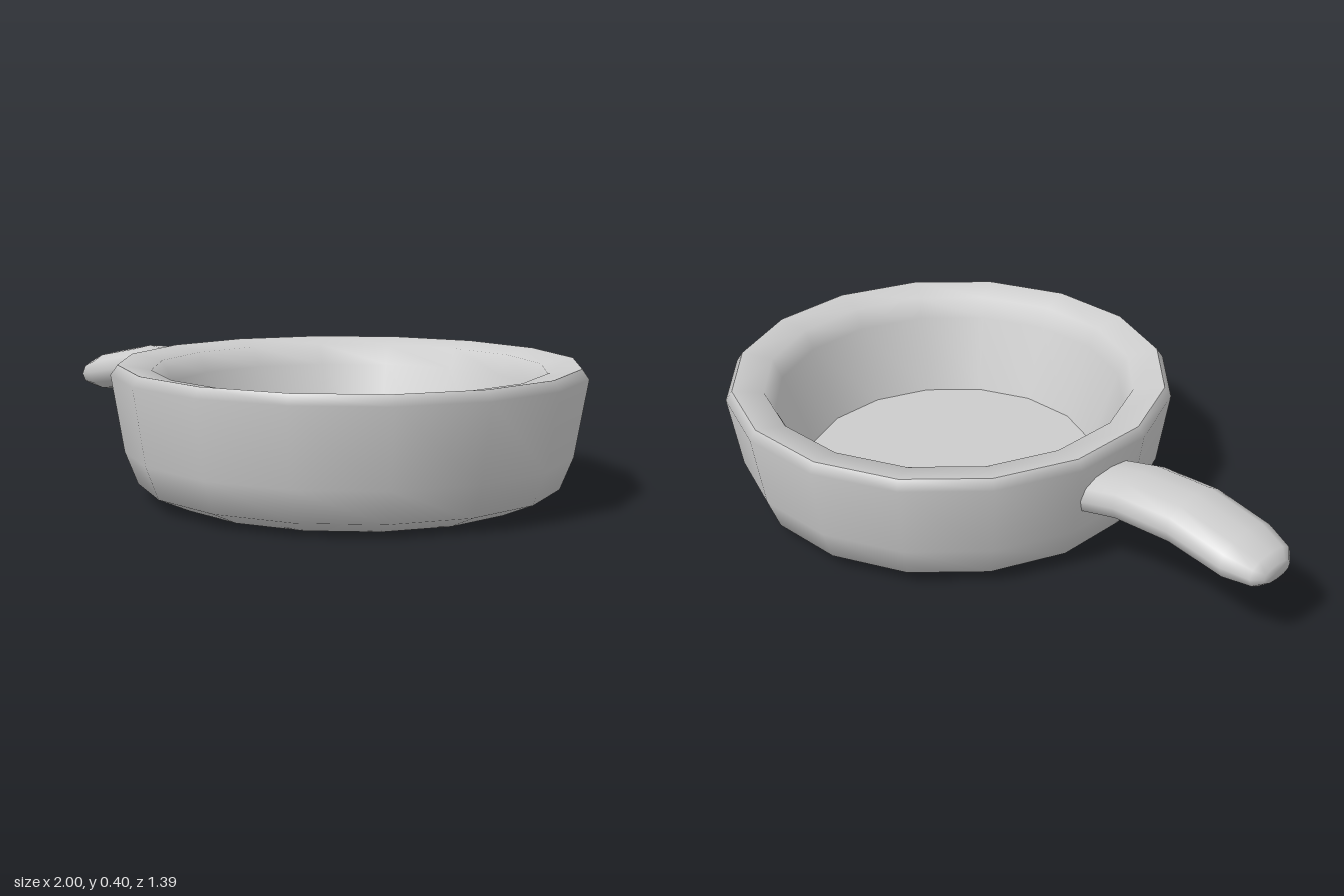
import * as THREE from 'three';

const SIDES = 16;
const PAN_X = 0.3025;
const APOTHEM = Math.cos(Math.PI / SIDES);

// Sixteen-sided turned surface; radii are measured to the flat sides.
function turned(name, profile, material) {
  const points = profile.map(([r, y]) => new THREE.Vector2(r / APOTHEM, y));
  const mesh = new THREE.Mesh(new THREE.LatheGeometry(points, SIDES, Math.PI / SIDES), material);
  mesh.name = name;
  mesh.position.x = PAN_X;
  return mesh;
}

// Smooth oval loft along x, closed at its first section.
// Each section: [x, centre y, half height, half width]
function loft(sections, sides) {
  const positions = [];
  const index = [];
  for (const [x, y, h, w] of sections) {
    for (let j = 0; j < sides; j++) {
      const a = (j / sides) * Math.PI * 2;
      const c = Math.cos(a), s = Math.sin(a);
      // slightly squared oval
      positions.push(x, y + h * Math.sign(s) * Math.abs(s) ** 0.85, w * Math.sign(c) * Math.abs(c) ** 0.85);
    }
  }
  for (let i = 0; i < sections.length - 1; i++) {
    for (let j = 0; j < sides; j++) {
      const k = (j + 1) % sides;
      const a = i * sides + j, b = a + sides;
      const d = i * sides + k, c = d + sides;
      index.push(a, b, d, b, c, d);
    }
  }
  const tip = positions.length / 3;
  positions.push(sections[0][0], sections[0][1], 0);
  for (let j = 0; j < sides; j++) index.push(tip, j, (j + 1) % sides);

  const geometry = new THREE.BufferGeometry();
  geometry.setAttribute('position', new THREE.Float32BufferAttribute(positions, 3));
  geometry.setIndex(index);
  geometry.computeVertexNormals();
  return geometry;
}

export function createModel() {
  const group = new THREE.Group();
  group.name = 'fryingPan';
  const metal = new THREE.MeshStandardMaterial({ color: 0xcccccc });
  metal.name = 'grey metal';

  // Underside, outer wall and bevel
  group.add(turned('outerBowl', [[0, 0], [0.527, 0], [0.622, 0.042], [0.66, 0.14], [0.6975, 0.37], [0.677, 0.4]], metal));
  // Lip rolling into the inner wall
  group.add(turned('rimAndInnerWall', [[0.677, 0.4], [0.58, 0.383], [0.55, 0.32], [0.465, 0.08]], metal));
  // Cooking surface
  group.add(turned('panFloor', [[0.465, 0.08], [0, 0.08]], metal));

  // Arched handle, its root buried in the wall
  const handle = new THREE.Mesh(loft([
    [-1.0, 0.235, 0.025, 0.06],
    [-0.975, 0.242, 0.047, 0.095],
    [-0.89, 0.256, 0.066, 0.122],
    [-0.7, 0.29, 0.07, 0.125],
    [-0.5, 0.281, 0.07, 0.125],
    [-0.33, 0.238, 0.07, 0.122],
  ], 12), metal);
  handle.name = 'handle';
  group.add(handle);

  return group;
}
